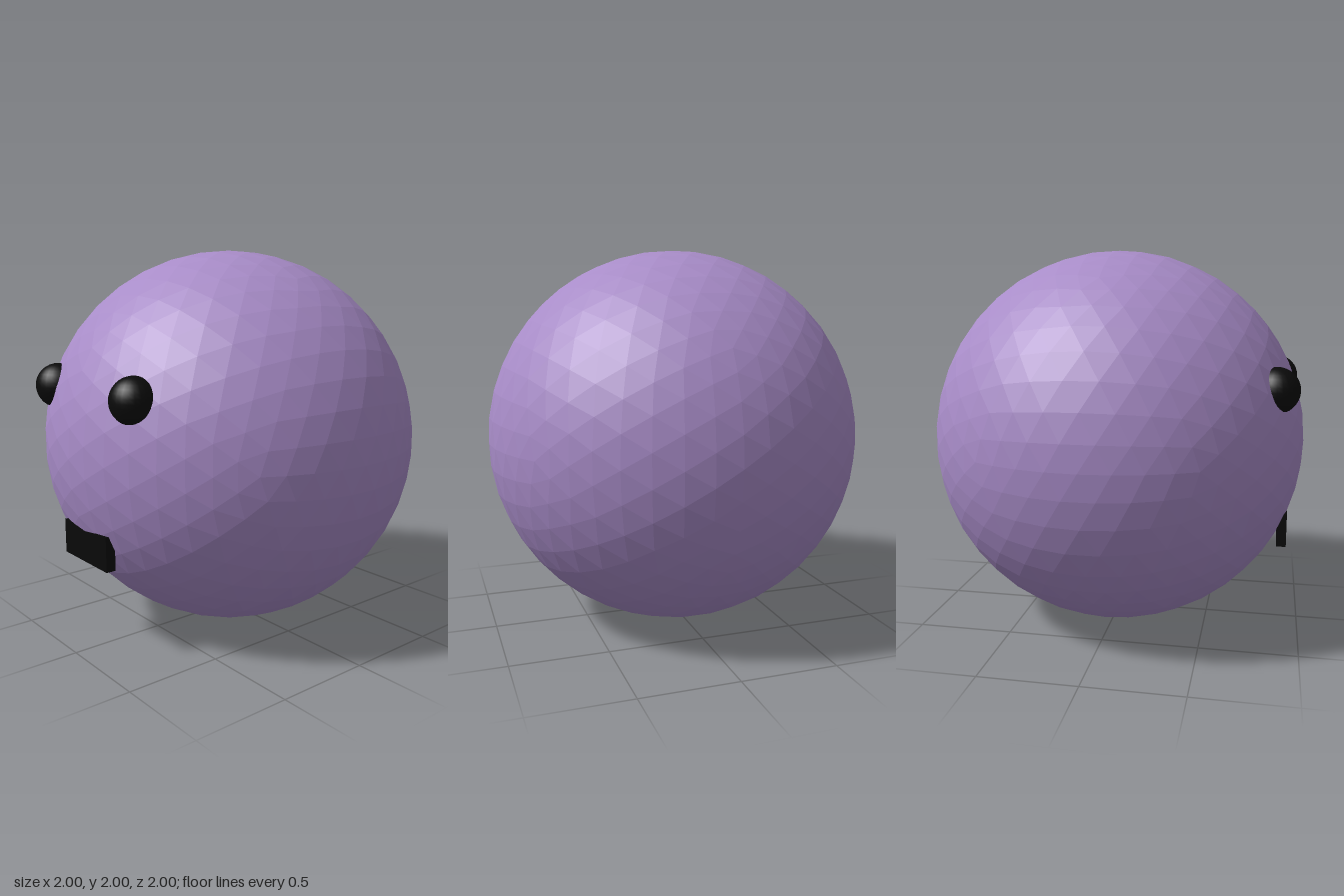
import * as THREE from 'three';

export function createModel() {
  const model = new THREE.Group();
  const skin = new THREE.MeshStandardMaterial({ color: 0xa88cc8, flatShading: true });
  const black = new THREE.MeshStandardMaterial({ color: 0x0a0a0a });

  const add = (name, geometry, material, x, y, z) => {
    const mesh = new THREE.Mesh(geometry, material);
    mesh.name = name;
    mesh.position.set(x, y, z);
    model.add(mesh);
    return mesh;
  };

  // Round faceted body
  add('body', new THREE.IcosahedronGeometry(1, 7), skin, 0, 1, 0);

  // Eyes, half sunk into the body
  const eye = new THREE.SphereGeometry(0.115, 24, 16);
  for (const side of [1, -1]) {
    add(side > 0 ? 'leftEye' : 'rightEye', eye, black, side * 0.357, 1.31, 0.85);
  }

  // Flat mouth plate, its top edge dipping into the body
  add('mouth', new THREE.BoxGeometry(0.4, 0.176, 0.05), black, 0, 0.553, 0.9);

  return model;
}
